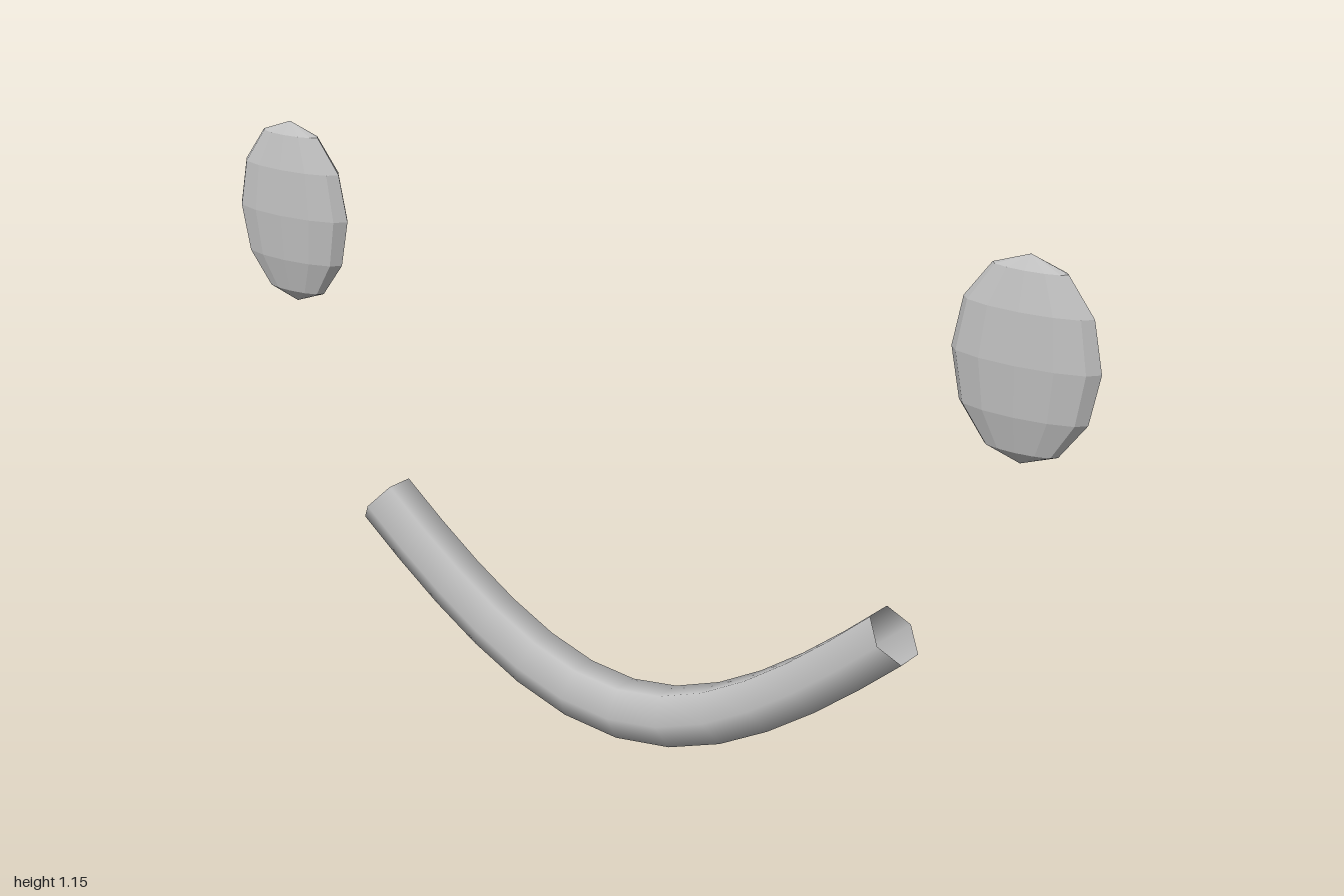
import * as THREE from 'three';

export function createModel() {
  const model = new THREE.Group();
  const grey = new THREE.MeshStandardMaterial({ color: 0xbfbfbf, side: THREE.DoubleSide });
  grey.name = 'grey';

  // Faceted, flattened eyes, mirrored left and right
  const eyeGeometry = new THREE.SphereGeometry(1, 12, 6).scale(0.147, 0.193, 0.043).toNonIndexed();
  eyeGeometry.computeVertexNormals();
  for (const side of [1, -1]) {
    const eye = new THREE.Mesh(eyeGeometry, grey);
    eye.name = side > 0 ? 'leftEye' : 'rightEye';
    eye.position.set(side * 0.853, 0.96, -0.008);
    model.add(eye);
  }

  // Smiling mouth: an open six-sided tube with smooth shading
  const smile = new THREE.CubicBezierCurve3(
    new THREE.Vector3(-0.617, 0.375, 0),
    new THREE.Vector3(-0.12, -0.053, 0),
    new THREE.Vector3(0.12, -0.053, 0),
    new THREE.Vector3(0.617, 0.375, 0)
  );
  const mouth = new THREE.Mesh(new THREE.TubeGeometry(smile, 12, 0.0625, 6, false), grey);
  mouth.name = 'mouth';
  model.add(mouth);

  return model;
}
